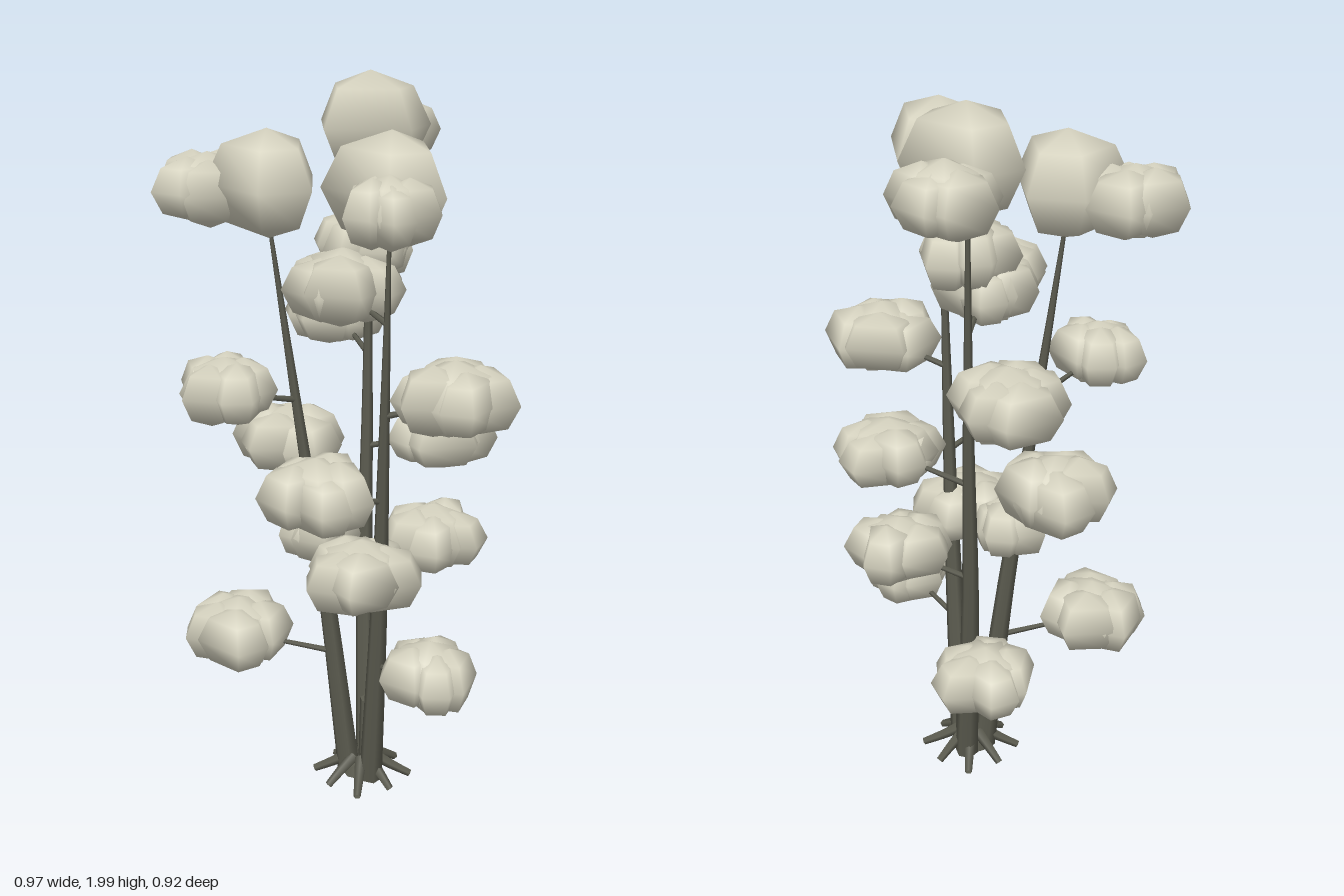
import * as THREE from 'three';

const leafMat = new THREE.MeshStandardMaterial({ color: 0xd6d3c0 });
const barkMat = new THREE.MeshStandardMaterial({ color: 0x5c5c50, side: THREE.DoubleSide });

// Small seeded random number generator
let seed = 7;
const rand = () => (seed = (seed * 16807) % 2147483647) / 2147483647;

// Low-poly puff: a five-sided ball with unevenly spaced columns and smooth normals
function puffGeometry() {
  const geo = new THREE.SphereGeometry(1, 5, 4);
  const angles = [360, 267, 215, 140, 50, 0];
  const pos = geo.attributes.position, nor = geo.attributes.normal;
  for (let i = 0; i < pos.count; i++) {
    const a = THREE.MathUtils.degToRad(angles[i % 6]);
    const r = Math.hypot(pos.getX(i), pos.getZ(i)), y = pos.getY(i);
    pos.setXYZ(i, r * Math.cos(a), y, r * Math.sin(a));
    nor.setXYZ(i, r * Math.cos(a), y, r * Math.sin(a));
  }
  return geo;
}
const puffGeo = puffGeometry();

function puff(name, x, y, z, rx, ry, rz, turn) {
  const mesh = new THREE.Mesh(puffGeo, leafMat);
  mesh.name = name;
  mesh.position.set(x, y, z);
  mesh.scale.set(rx, ry, rz);
  mesh.rotation.y = turn;
  return mesh;
}

// Tube that narrows from r0 to r1 along its path
function taperedTube(name, curve, r0, r1, steps, sides) {
  const geo = new THREE.TubeGeometry(curve, steps, 1, sides);
  const pos = geo.attributes.position, v = new THREE.Vector3();
  for (let i = 0; i < pos.count; i++) {
    const t = Math.floor(i / (sides + 1)) / steps;
    const c = curve.getPointAt(t);
    v.fromBufferAttribute(pos, i).sub(c).multiplyScalar(r0 + (r1 - r0) * t).add(c);
    pos.setXYZ(i, v.x, v.y, v.z);
  }
  const mesh = new THREE.Mesh(geo, barkMat);
  mesh.name = name;
  return mesh;
}

const path = (pts) => new THREE.CatmullRomCurve3(pts.map((p) => new THREE.Vector3(...p)));

// Point on a trunk at a given height
function atHeight(curve, y) {
  let lo = 0, hi = 1;
  for (let i = 0; i < 20; i++) {
    const mid = (lo + hi) / 2;
    if (curve.getPoint(mid).y < y) lo = mid; else hi = mid;
  }
  return curve.getPoint(lo);
}

export function createModel() {
  const tree = new THREE.Group();
  tree.name = 'tree';

  // Three leaning trunks
  const trunks = [
    path([[-0.02, 0.02, -0.04], [-0.08, 0.6, -0.09], [-0.11, 1.1, -0.13], [-0.14, 1.8, -0.165]]),
    path([[-0.03, 0.02, 0.025], [-0.08, 0.6, 0.065], [-0.13, 1.1, 0.11], [-0.185, 1.7, 0.165]]),
    path([[0.045, 0.02, 0.01], [0.11, 0.6, 0.045], [0.155, 1.1, 0.075], [0.195, 1.7, 0.1]]),
  ];
  for (const t of trunks) tree.add(taperedTube('trunk', t, 0.034, 0.004, 12, 6));

  // Crown puff on each trunk
  tree.add(puff('crown', -0.135, 1.86, -0.165, 0.16, 0.14, 0.16, THREE.MathUtils.degToRad(46)));
  tree.add(puff('crown', -0.175, 1.74, 0.165, 0.165, 0.14, 0.165, 0));
  tree.add(puff('crown', 0.21, 1.77, 0.11, 0.178, 0.14, 0.165, 0));

  // Foliage clusters: centre, then half sizes in x, y, z
  const clusters = [
    [-0.25, 0.475, 0.24, 0.155, 0.1, 0.15], [0.315, 0.48, 0.06, 0.135, 0.1, 0.125],
    [-0.26, 0.5, -0.23, 0.14, 0.09, 0.135], [-0.1, 0.78, 0.07, 0.105, 0.095, 0.125],
    [0.125, 0.735, 0.13, 0.15, 0.1, 0.155], [0.09, 0.74, -0.19, 0.14, 0.095, 0.145],
    [-0.295, 0.98, 0, 0.17, 0.1, 0.135], [0.11, 1, 0.275, 0.155, 0.1, 0.15],
    [0.1, 1.045, -0.21, 0.155, 0.09, 0.14], [-0.315, 1.31, -0.215, 0.145, 0.095, 0.145],
    [-0.165, 1.23, 0.335, 0.14, 0.09, 0.115], [0.33, 1.245, 0, 0.15, 0.1, 0.16],
    [0.02, 1.495, 0.09, 0.145, 0.1, 0.15], [-0.02, 1.575, -0.04, 0.14, 0.095, 0.12],
    [-0.05, 1.48, 0, 0.14, 0.095, 0.12], [-0.22, 1.825, -0.33, 0.135, 0.09, 0.125],
    [-0.34, 1.715, 0.225, 0.145, 0.095, 0.145], [0.305, 1.74, 0.215, 0.12, 0.09, 0.115],
  ];
  for (const [x, y, z, a, h, c] of clusters) {
    const group = new THREE.Group();
    group.name = 'foliageCluster';
    group.add(puff('lobe', x, y, z, a * 0.85, h, c * 0.85, rand() * 6.28));
    const start = rand() * 6.28;
    for (let k = 0; k < 5; k++) {
      const ang = start + (k * Math.PI) / 2.5 + (rand() - 0.5) * 0.5;
      const r = (a + c) / 2 * (0.62 + rand() * 0.12);
      group.add(puff('lobe', x + Math.cos(ang) * a * 0.4, y + (rand() - 0.5) * h * 0.16,
        z + Math.sin(ang) * c * 0.4, r, h * (0.83 + rand() * 0.12), r, rand() * 6.28));
    }
    tree.add(group);

    // Twig from the nearest trunk
    const centre = new THREE.Vector3(x, y - 0.01, z);
    const from = trunks.map((t) => atHeight(t, y - 0.07))
      .sort((p, q) => p.distanceTo(centre) - q.distanceTo(centre))[0];
    tree.add(taperedTube('branch', new THREE.LineCurve3(from, centre), 0.009, 0.005, 1, 5));
  }

  // Short central stump and root collar
  const stump = new THREE.Mesh(new THREE.CylinderGeometry(0.024, 0.03, 0.23, 6), barkMat);
  stump.name = 'stump';
  stump.position.set(0.005, 0.135, -0.02);
  const collar = new THREE.Mesh(new THREE.CylinderGeometry(0.05, 0.06, 0.03, 8), barkMat);
  collar.name = 'rootCollar';
  collar.position.y = 0.035;
  tree.add(stump, collar);

  // Roots spreading over the ground
  for (let i = 0; i < 8; i++) {
    const a = (i / 8) * Math.PI * 2 + 0.1;
    const len = 0.125 + 0.015 * (i % 2);
    const curve = path([[0.03, 0.075], [0.08, 0.045], [len, 0.015]]
      .map(([r, y]) => [r * Math.cos(a), y, r * Math.sin(a)]));
    tree.add(taperedTube('root', curve, 0.018, 0.011, 4, 5));
  }
  return tree;
}
